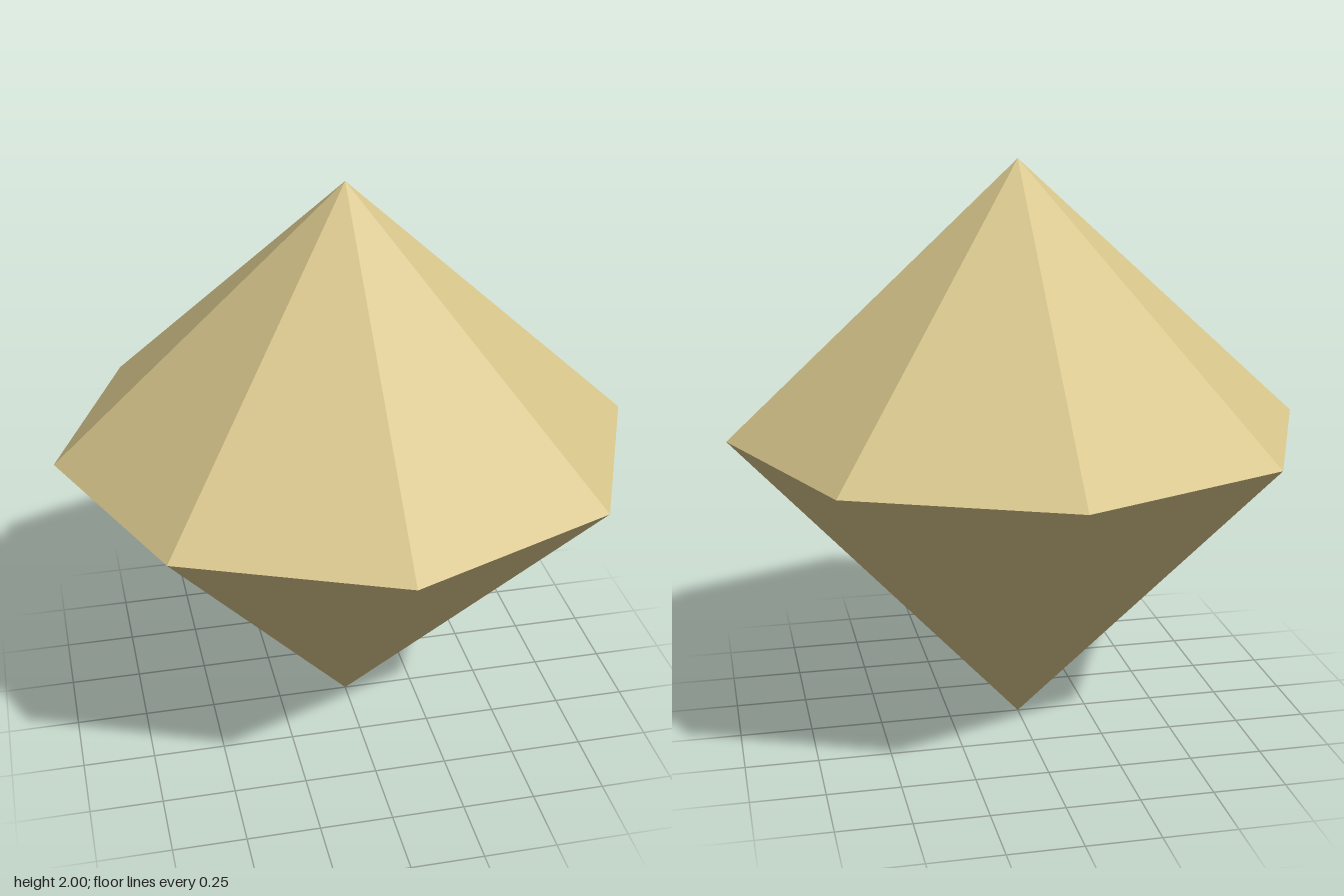
import * as THREE from 'three';

const SIDES = 8;
const RADIUS = 1;
const GIRDLE = 1.08; // height of the widest ring
const HEIGHT = 2;

export function createModel() {
  const model = new THREE.Group();
  model.name = 'gem';
  const material = new THREE.MeshStandardMaterial({ color: 0xd6c48a, flatShading: true });

  // One open eight-sided half between two heights
  const addHalf = (name, topRadius, bottomRadius, y0, y1) => {
    const geometry = new THREE.CylinderGeometry(topRadius, bottomRadius, y1 - y0, SIDES, 1, true);
    geometry.translate(0, (y0 + y1) / 2, 0);
    const mesh = new THREE.Mesh(geometry, material);
    mesh.name = name;
    model.add(mesh);
  };

  // Shallower upper facets and deeper lower facets meet at the girdle
  addHalf('crown', 0, RADIUS, GIRDLE, HEIGHT);
  addHalf('pavilion', RADIUS, 0, 0, GIRDLE);

  return model;
}
